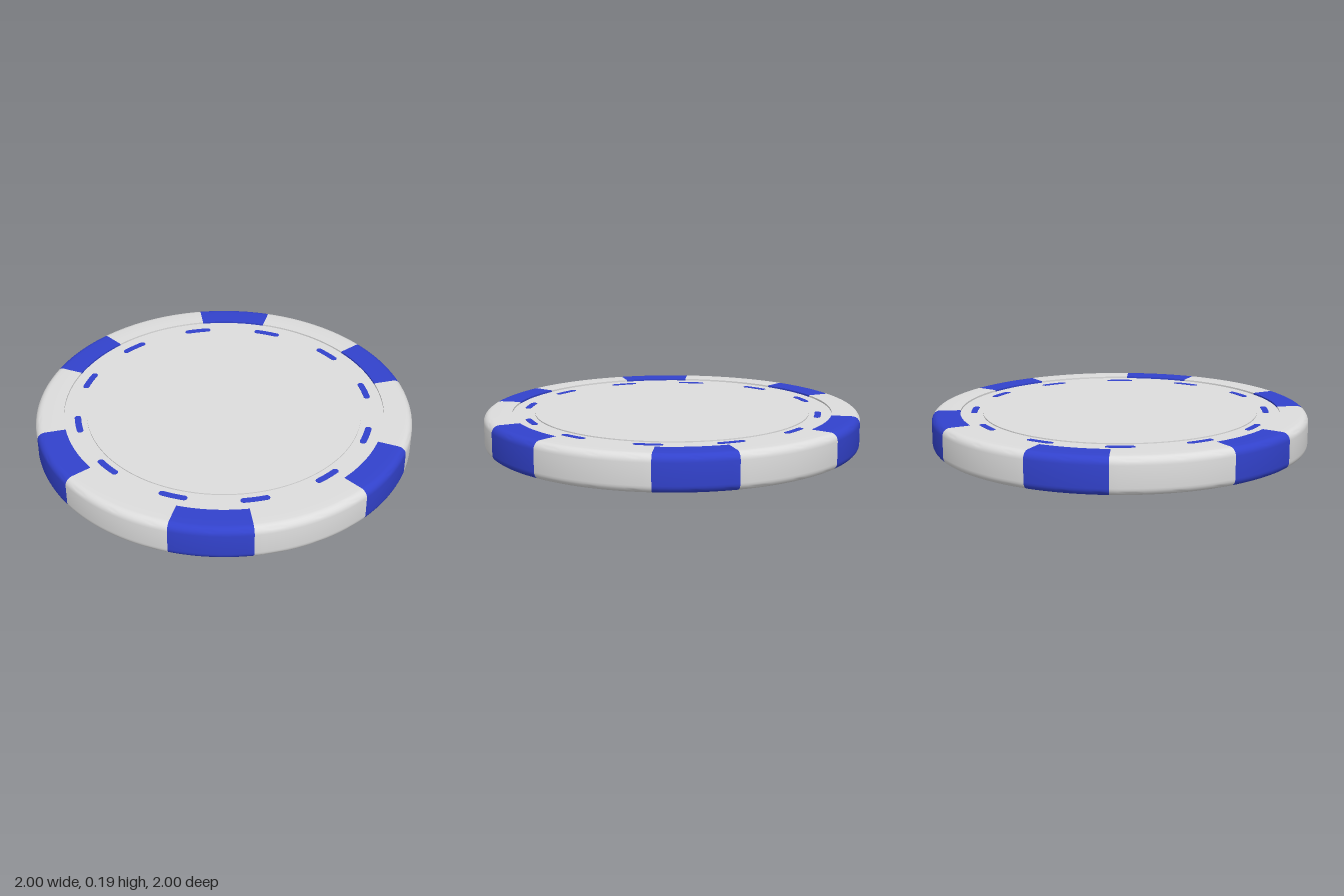
import * as THREE from 'three';
import { toCreasedNormals } from 'three/addons/utils/BufferGeometryUtils.js';

const H = 0.19;        // overall thickness
const RIM = 0.85;      // inner radius of the rim
const DISC = 0.73;     // radius of the centre disc
const FLOOR = 0.009;   // depth of the recessed band
const INSET = 0.003;   // depth of the centre disc
const deg = THREE.MathUtils.degToRad;

function material(name, color) {
  const m = new THREE.MeshStandardMaterial({ color });
  m.name = name;
  return m;
}

// Closes a lower half profile with its mirror image, then turns it round y
function turned(lower, segments, start, sweep) {
  const upper = lower.map(([r, y]) => [r, H - y]).reverse();
  const points = [...lower, ...upper].map(([r, y]) => new THREE.Vector2(r, y));
  return toCreasedNormals(new THREE.LatheGeometry(points, segments, start, sweep), 0.6);
}

// Curved dash with round ends, lying flat and centred on +x
function dashGeometry() {
  const R = 0.777, w = 0.017, a = 0.073, depth = 0.003;
  const s = new THREE.Shape();
  s.absarc(0, 0, R + w, -a, a, false);
  s.absarc(R * Math.cos(a), R * Math.sin(a), w, a, a + Math.PI, false);
  s.absarc(0, 0, R - w, a, -a, true);
  s.absarc(R * Math.cos(a), -R * Math.sin(a), w, Math.PI - a, 2 * Math.PI - a, false);
  const g = new THREE.ExtrudeGeometry(s, { depth, bevelEnabled: false, curveSegments: 8 });
  return g.translate(0, 0, -depth / 2).rotateX(-Math.PI / 2);
}

export function createModel() {
  const white = material('chip white', 0xdcdcdc);
  const blue = material('chip blue', 0x3242cc);
  const model = new THREE.Group();
  model.name = 'chip';

  function add(name, geometry, mat, parent = model) {
    const mesh = new THREE.Mesh(geometry, mat);
    mesh.name = name;
    parent.add(mesh);
    return mesh;
  }

  // Centre disc and recessed band, on both sides
  add('centre', turned([[0, INSET], [DISC, INSET], [DISC, FLOOR], [RIM + 0.01, FLOOR]], 150), white);

  // Rim with rounded corners, in alternating colours
  const c = 0.04;
  const rimProfile = [[RIM, FLOOR + 0.002], [RIM, 0], [0.9, 0]];
  for (let i = 0; i <= 6; i++) {
    const t = (i / 6) * Math.PI / 2;
    rimProfile.push([1 - c + c * Math.sin(t), c - c * Math.cos(t)]);
  }
  const blueRim = turned(rimProfile, 10, deg(-2), deg(24));
  const whiteRim = turned(rimProfile, 15, deg(22), deg(36));
  const rim = new THREE.Group();
  rim.name = 'rim';
  model.add(rim);
  for (let i = 0; i < 6; i++) {
    add('rimBlueBlock', blueRim, blue, rim).rotation.y = deg(60 * i);
    add('rimWhiteBlock', whiteRim, white, rim).rotation.y = deg(60 * i);
  }

  // Dashes round the band, on both sides
  const dash = dashGeometry();
  const dashes = new THREE.Group();
  dashes.name = 'dashes';
  model.add(dashes);
  for (const y of [FLOOR, H - FLOOR]) {
    for (let i = 0; i < 12; i++) {
      const mesh = add('dash', dash, blue, dashes);
      mesh.position.y = y;
      mesh.rotation.y = -deg(5 + 30 * i);
    }
  }
  return model;
}
